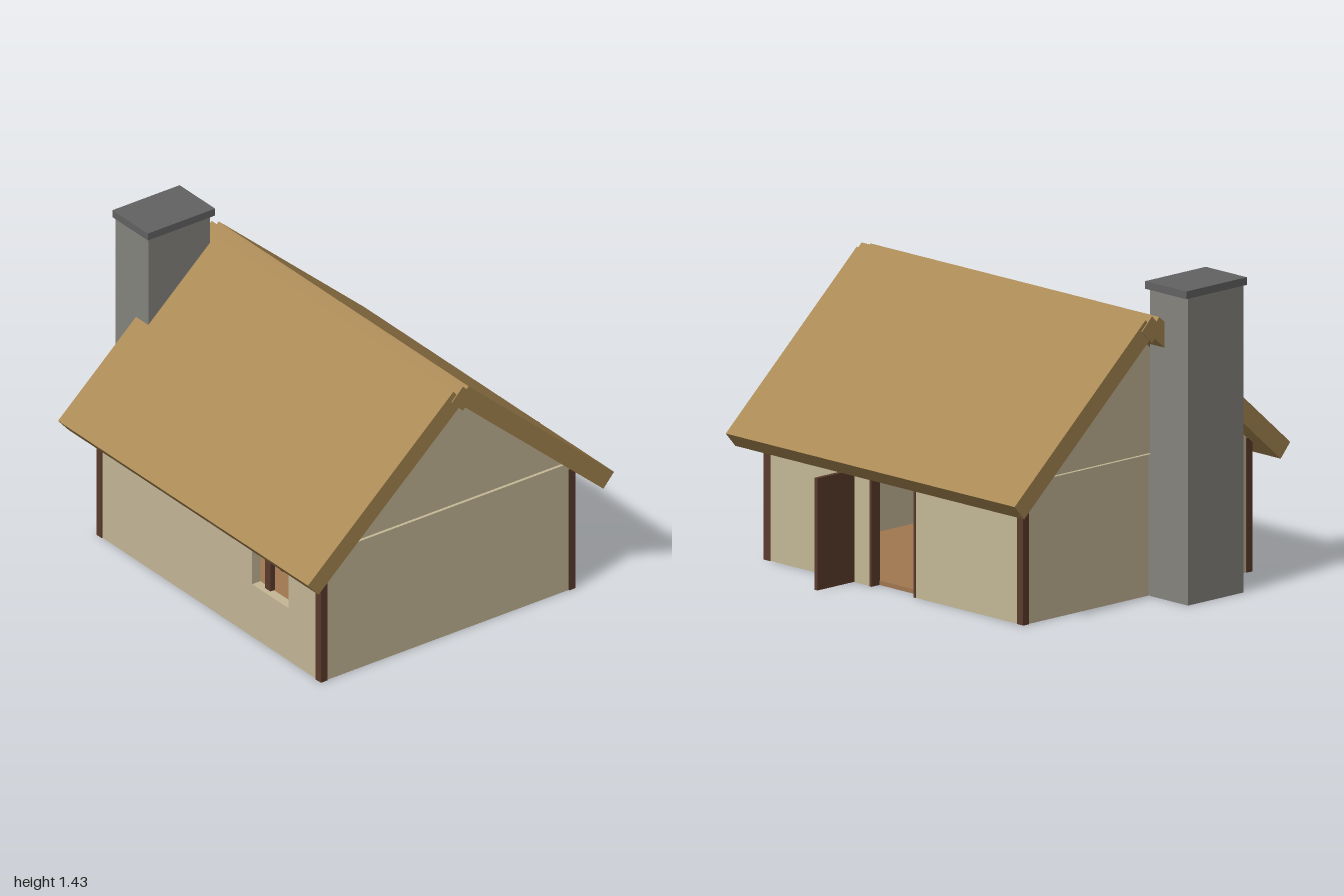
import * as THREE from 'three';

const mat = (color) => new THREE.MeshStandardMaterial({ color, flatShading: true });

export function createModel() {
  const house = new THREE.Group();
  house.name = 'cottage';
  const plaster = mat(0xc4b796), thatch = mat(0xa88752), wood = mat(0x5a3c2c);
  const stone = mat(0x85847e), slate = mat(0x626263), planks = mat(0xa07850);

  const add = (name, geometry, material) => {
    const mesh = new THREE.Mesh(geometry, material);
    mesh.name = name;
    house.add(mesh);
    return mesh;
  };
  // Box given by its lower and upper limits on each axis
  const box = (name, material, x0, x1, y0, y1, z0, z1) => {
    const mesh = add(name, new THREE.BoxGeometry(x1 - x0, y1 - y0, z1 - z0), material);
    mesh.position.set((x0 + x1) / 2, (y0 + y1) / 2, (z0 + z1) / 2);
    return mesh;
  };
  const outline = (points) => new THREE.Shape(points.map(([x, y]) => new THREE.Vector2(x, y)));
  const extrude = (shape, depth) => new THREE.ExtrudeGeometry(shape, { depth, bevelEnabled: false });

  const X0 = -0.74, X1 = 0.895, Z0 = -0.655, Z1 = 0.735, T = 0.045, WALL = 0.64, MID = 0.0375;

  // Floor
  box('floor', planks, X0 + T, X1 - T, 0, 0.02, Z0 + T, Z1 - T);

  // Front wall with window opening
  const front = outline([[X0, 0], [X1, 0], [X1, WALL], [X0, WALL]]);
  front.holes.push(outline([[0.39, 0.265], [0.39, 0.52], [0.655, 0.52], [0.655, 0.265]]));
  add('frontWall', extrude(front, T), plaster).position.z = Z1 - T;

  // Back wall with doorway
  const d0 = -0.06, d1 = 0.23, dh = 0.52;
  const back = outline([[X0, 0], [d0, 0], [d0, dh], [d1, dh], [d1, 0], [X1, 0], [X1, WALL], [X0, WALL]]);
  add('backWall', extrude(back, T), plaster).position.z = Z0;

  // Side walls, each with a slightly inset gable above
  const gable = outline([[-0.64, WALL], [0.64, WALL], [0, 1.205]]);
  for (const [x, inset, side] of [[X0, X0 + 0.015, 'right'], [X1 - T, X1 - T, 'left']]) {
    box(side + 'Wall', plaster, x, x + T, 0, WALL, Z0 + T, Z1 - T);
    const mesh = add(side + 'Gable', extrude(gable, T - 0.015), plaster);
    mesh.rotation.y = Math.PI / 2;
    mesh.position.set(inset, 0, MID);
  }

  // Corner posts, a little proud of the walls
  for (const x of [X0 - 0.005, X1 - 0.035]) {
    for (const z of [Z0 - 0.005, Z1 - 0.03]) {
      box('cornerPost', wood, x, x + 0.04, 0, 0.61, z, z + 0.035);
    }
  }

  // Roof slabs and the square ridge beam turned on its edge
  for (const s of [1, -1]) {
    const slab = add(s > 0 ? 'frontRoof' : 'backRoof', new THREE.BoxGeometry(1.83, 0.088, 1.068), thatch);
    slab.position.set(0.075, 0.901, MID + s * 0.4125);
    slab.rotation.x = s * 0.724;
  }
  const ridge = add('ridgeBeam', new THREE.BoxGeometry(1.84, 0.086, 0.086), thatch);
  ridge.position.set(0.075, 1.239, 0.03);
  ridge.rotation.x = Math.PI / 4;

  // Chimney, cap and indoor chimney breast
  box('chimney', stone, -0.99, -0.75, 0, 1.4, 0.11, 0.45);
  box('chimneyCap', slate, -1.0, -0.74, 1.395, 1.43, 0.09, 0.46);
  box('hearth', stone, -0.75, -0.47, 0.001, 0.64, 0.11, 0.45);

  // Window bars
  box('windowBar', wood, 0.45, 0.49, 0.265, 0.52, 0.685, 0.71);
  box('innerWindowBar', wood, 0.455, 0.475, 0.33, 0.52, 0.61, 0.63);

  // Door lining and the door standing open
  for (const x of [d0, d1 - 0.012]) box('doorJamb', wood, x, x + 0.012, 0, dh, Z0 - 0.003, Z0 + T + 0.003);
  box('doorLintel', wood, d0, d1, dh - 0.012, dh, Z0 - 0.003, Z0 + T + 0.003);
  box('door', wood, 0.33, 0.35, 0.002, 0.51, -0.88, -0.655);

  return house;
}
